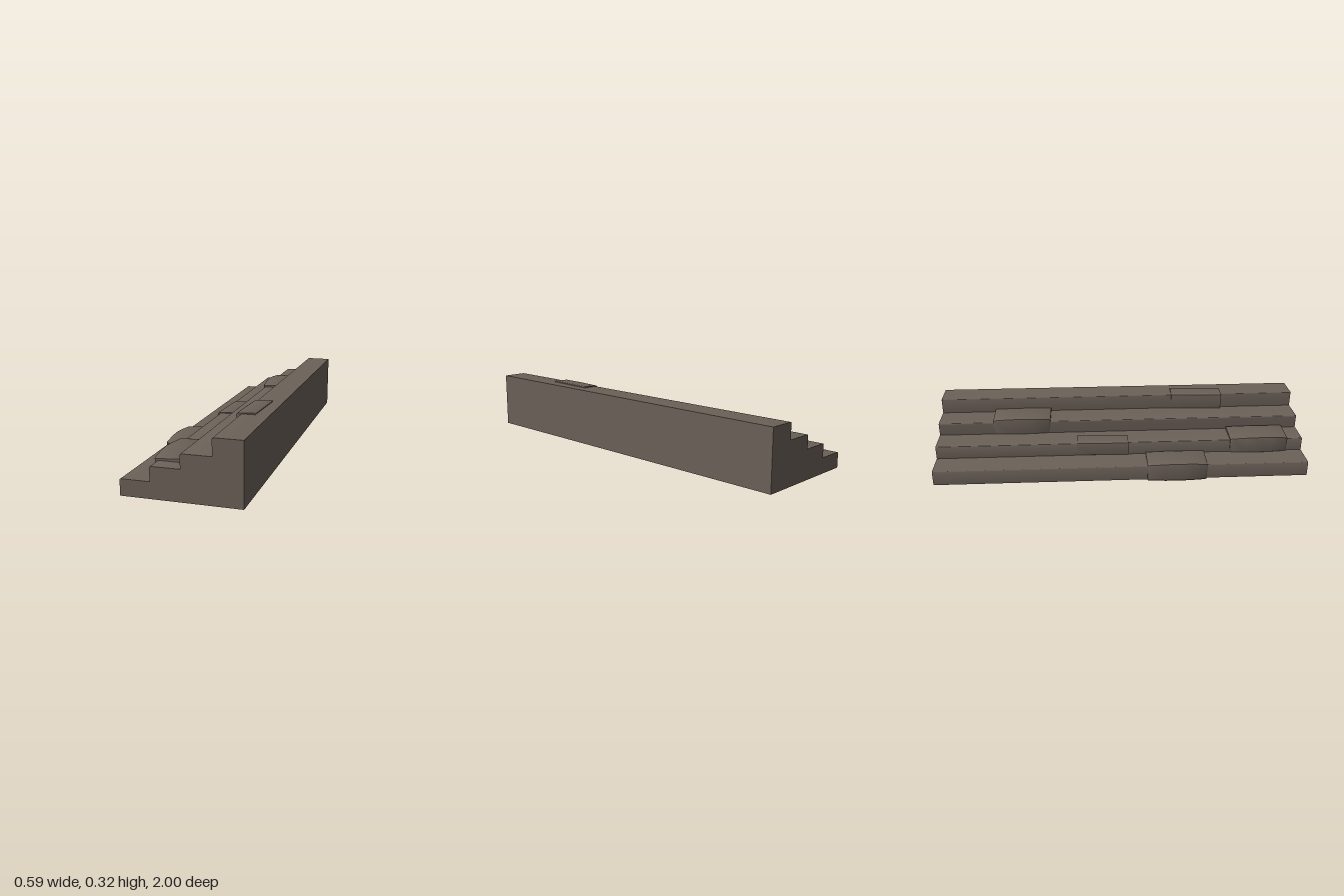
import * as THREE from 'three';
import { toCreasedNormals } from 'three/addons/utils/BufferGeometryUtils.js';

const stone = new THREE.MeshStandardMaterial({ color: 0x6b6158 });
stone.name = 'weathered stone';

// Stepped body: riser x and tread height of each step, with rounded noses
const STEPS = [[-0.277, 0.09], [-0.133, 0.161], [0.01, 0.231], [0.155, 0.314]];
const BASE = 0.01, BACK = 0.295;

function stairBody() {
  const r = 0.008, s = new THREE.Shape();
  s.moveTo(BACK, BASE);
  s.lineTo(BACK, STEPS[3][1]);
  for (let i = 3; i >= 0; i--) {
    const [x, y] = STEPS[i];
    s.lineTo(x + r, y);
    s.quadraticCurveTo(x, y, x, y - r);
    s.lineTo(x, i ? STEPS[i - 1][1] : BASE);
  }
  s.closePath();
  const g = new THREE.ExtrudeGeometry(s, { depth: 2, bevelEnabled: false, curveSegments: 4 });
  g.translate(0, 0, -1);
  return toCreasedNormals(g, 0.7);
}

// Worn slab over a step edge: cross-sections along z, slightly bulged in the middle
function slab({ x0, x1, y0, yFront, yBack, z0, z1, bulge = 1, skew = 0, lift = 0 }) {
  const stations = [[0, 0.014], [0.03, 0.009], [0.3, 0.002], [0.5, 0], [0.7, 0.002], [0.97, 0.009], [1, 0.014]];
  const b = 0.008, pos = [], idx = [];
  let n = 0;
  for (const [t, inset] of stations) {
    const d = inset * bulge, l = x0 + d, top = yFront - d, tb = yBack - d * 0.25;
    const ring = [
      [l + b + 0.003, y0], [x1, y0 + lift], [x1, tb - b * 0.5], [x1 - b, tb],
      [l + b, top], [l + b * 0.3, top - b * 0.3], [l, top - b], [l + 0.006, y0 + 0.006],
    ];
    n = ring.length;
    for (const [x, y] of ring) pos.push(x + skew * (t - 0.5), y, z0 + (z1 - z0) * t);
  }
  const last = (stations.length - 1) * n;
  for (let i = 0; i < stations.length - 1; i++) {
    for (let j = 0; j < n; j++) {
      const a = i * n + j, c = i * n + (j + 1) % n;
      idx.push(a, c, c + n, a, c + n, a + n);
    }
  }
  for (let j = 1; j < n - 1; j++) {
    idx.push(0, j + 1, j);
    idx.push(last, last + j, last + j + 1);
  }
  const g = new THREE.BufferGeometry();
  g.setAttribute('position', new THREE.Float32BufferAttribute(pos, 3));
  g.setIndex(idx);
  return toCreasedNormals(g, 0.6);
}

const SLABS = {
  bottomStepSlab: { x0: -0.296, x1: -0.135, y0: 0.001, lift: 0.008, yFront: 0.108, yBack: 0.106, z0: 0.135, z1: 0.455 },
  secondStepSlab: { x0: -0.157, x1: 0.006, y0: 0.085, yFront: 0.183, yBack: 0.181, z0: 0.6, z1: 0.915 },
  thirdStepSlab: { x0: -0.005, x1: 0.156, y0: 0.155, yFront: 0.255, yBack: 0.252, z0: -0.7, z1: -0.385 },
  // smaller chips, turned slightly off the step line
  secondStepChip: { x0: -0.142, x1: -0.045, y0: 0.085, yFront: 0.165, yBack: 0.169, z0: -0.24, z1: 0.04, bulge: 0.1, skew: -0.01 },
  topStepChip: { x0: 0.138, x1: 0.233, y0: 0.225, yFront: 0.318, yBack: 0.322, z0: 0.305, z1: 0.59, bulge: 0.1, skew: -0.013 },
};

export function createModel() {
  const group = new THREE.Group();
  group.name = 'stoneSteps';
  const add = (name, geometry) => {
    const mesh = new THREE.Mesh(geometry, stone);
    mesh.name = name;
    group.add(mesh);
  };
  add('stairBody', stairBody());
  for (const [name, spec] of Object.entries(SLABS)) add(name, slab(spec));
  return group;
}
